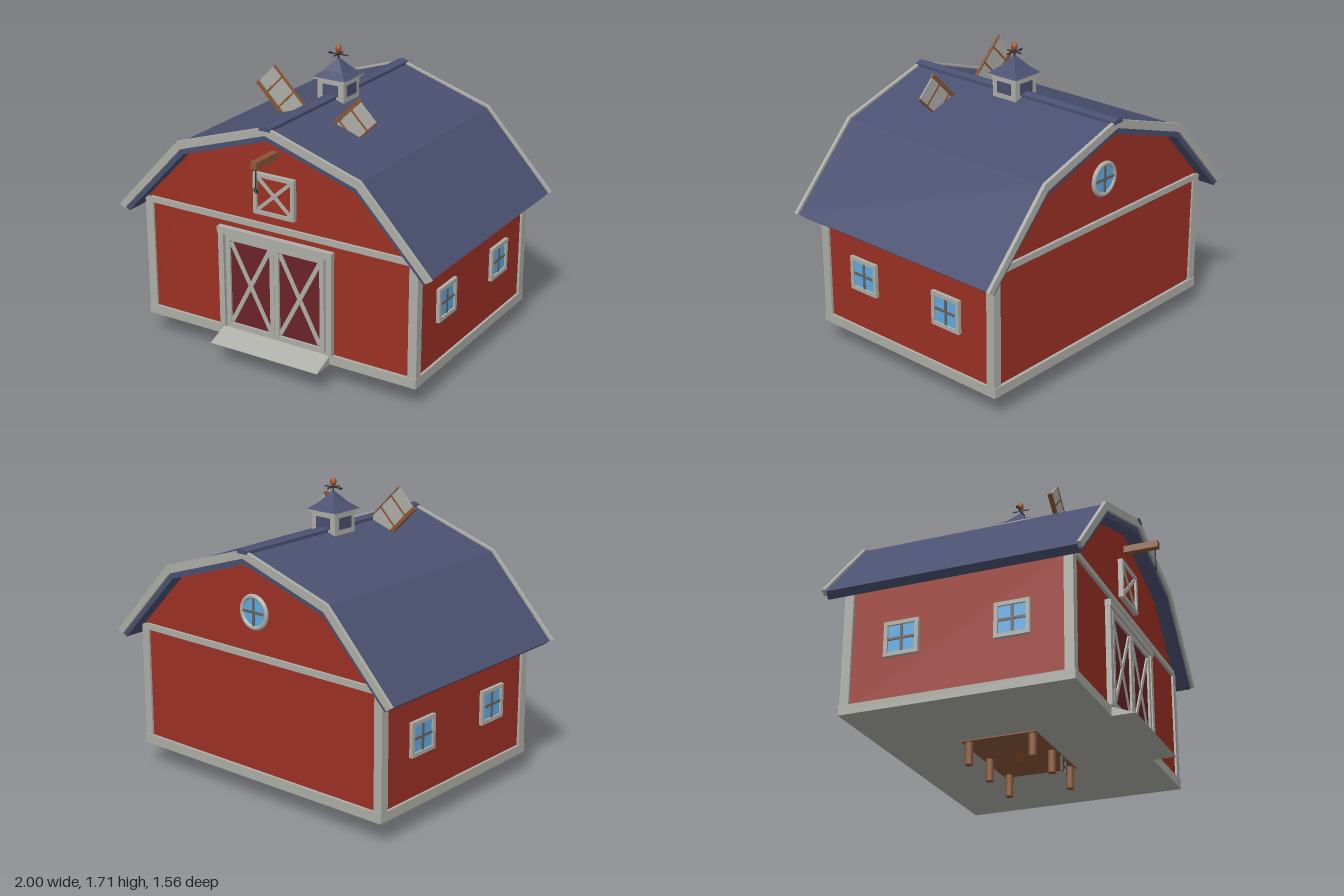
import * as THREE from 'three';

const mat = (name, color) => {
  const m = new THREE.MeshStandardMaterial({ color });
  m.name = name;
  return m;
};

export function createModel() {
  const red = mat('barn red', 0x9c3024);
  const maroon = mat('door maroon', 0x6b2428);
  const trim = mat('trim grey', 0xaeaea8);
  const navy = mat('roof navy', 0x4a5070);
  const wood = mat('wood brown', 0x8a5636);
  const glass = mat('window blue', 0x5fabe2);
  const dark = mat('iron dark', 0x33353d);
  const bar = mat('mullion grey', 0x66625e);
  const copper = mat('copper', 0xa0522d);
  const model = new THREE.Group();
  const CZ = -0.05;

  const add = (parent, name, geo, m, x = 0, y = 0, z = 0) => {
    const mesh = new THREE.Mesh(geo, m);
    mesh.name = name;
    mesh.position.set(x, y, z);
    parent.add(mesh);
    return mesh;
  };
  const box = (parent, name, m, w, h, d, x, y, z) =>
    add(parent, name, new THREE.BoxGeometry(w, h, d), m, x, y, z);
  const group = (name, x = 0, y = 0, z = 0, ry = 0) => {
    const g = new THREE.Group();
    g.name = name;
    g.position.set(x, y, z);
    g.rotation.y = ry;
    model.add(g);
    return g;
  };
  // Extrudes an outline (x, y) from z0 to z1
  const slab = (pts, z0, z1) => {
    const s = new THREE.Shape(pts.map(p => new THREE.Vector2(p[0], p[1])));
    return new THREE.ExtrudeGeometry(s, { depth: z1 - z0, bevelEnabled: false }).translate(0, 0, z0);
  };
  // Gambrel band between an outer and an inner half profile, listed ridge to eave
  const flip = pts => pts.map(([x, y]) => [-x, y]);
  const band = (o, i) => [...flip(o).reverse(), ...o.slice(1), ...[...i].reverse(), ...flip(i).slice(1)];
  // Rectangular frame of four boards, centred on the origin
  const frame = (g, w, h, t, d, z) => {
    for (const s of [-1, 1]) {
      box(g, 'frameSide', trim, t, h, d, s * (w - t) / 2, 0, z);
      box(g, 'frameRail', trim, w - 2 * t, t, d, 0, s * (h - t) / 2, z);
    }
  };
  const cross = (g, w, h, t, d, z) => {
    for (const s of [-1, 1])
      box(g, 'brace', trim, Math.hypot(w, h) - t, t, d, 0, 0, z + s * 0.001).rotation.z = s * Math.atan2(h, w);
  };

  // Walls, base and trim
  const half = [[0, 1.37], [0.545, 1.195], [0.865, 0.862], [0.865, 0.15]];
  add(model, 'walls', slab([...half, ...flip(half).reverse().slice(0, 3)].reverse(), -0.685, 0.585), red);
  box(model, 'base', trim, 1.76, 0.055, 1.305, 0, 0.158, CZ);
  for (const sx of [-1, 1])
    for (const sz of [-1, 1])
      box(model, 'cornerPost', trim, 0.052, 0.67, 0.052, sx * 0.853, 0.52, CZ + sz * 0.621);
  for (const sz of [-1, 1])
    box(model, 'gableRail', trim, 1.68, 0.035, 0.03, 0, 0.845, CZ + sz * 0.637);

  // Roof, rake boards and ridge cap
  add(model, 'roof', slab(band(
    [[0, 1.437], [0.572, 1.25], [0.985, 0.805]],
    [[0, 1.365], [0.545, 1.19], [0.945, 0.775]]), -0.76, 0.665), navy);
  const rake = band([[0, 1.447], [0.577, 1.262], [0.998, 0.812]], [[0, 1.4], [0.556, 1.22], [0.966, 0.79]]);
  add(model, 'frontRake', slab(rake, 0.66, 0.68), trim);
  add(model, 'backRake', slab(rake, -0.775, -0.755), trim);
  add(model, 'ridgeCap', slab([[-0.035, 1.425], [0.035, 1.425], [0.035, 1.443], [0, 1.455], [-0.035, 1.443]],
    -0.777, 0.682), navy);

  // Double door with frame and braces
  box(model, 'doorHeader', trim, 0.74, 0.04, 0.05, 0, 0.772, 0.595);
  for (const s of [-1, 1]) {
    box(model, 'doorPost', trim, 0.035, 0.57, 0.04, s * 0.35, 0.47, 0.595);
    const leaf = group('doorLeaf', s * 0.16, 0.47, 0.59);
    box(leaf, 'doorPanel', maroon, 0.31, 0.55, 0.02, 0, 0, 0);
    frame(leaf, 0.318, 0.555, 0.028, 0.035, 0.005);
    cross(leaf, 0.265, 0.5, 0.024, 0.025, 0.005);
  }
  const ramp = slab([[-0.735, 0.13], [-0.59, 0.13], [-0.59, 0.187]], -0.35, 0.35);
  add(model, 'ramp', ramp, trim).rotation.y = Math.PI / 2;

  // Hay loft door and hoist
  const loft = group('loftDoor', 0.002, 1.035, 0.59);
  box(loft, 'loftPanel', red, 0.24, 0.22, 0.02, 0, 0, 0);
  frame(loft, 0.26, 0.235, 0.022, 0.035, 0.005);
  cross(loft, 0.22, 0.195, 0.02, 0.025, 0.005);
  box(model, 'hoistBeam', wood, 0.04, 0.04, 0.23, 0, 1.267, 0.67);
  add(model, 'hoistRope', new THREE.CylinderGeometry(0.004, 0.004, 0.14, 6), dark, 0, 1.18, 0.765);
  add(model, 'hoistHook', new THREE.TorusGeometry(0.012, 0.004, 6, 12), dark, 0, 1.125, 0.765);

  // Side windows
  for (const s of [-1, 1])
    for (const z of [0.265, -0.355]) {
      const win = group('sideWindow', s * 0.865, 0.515, z, s * Math.PI / 2);
      box(win, 'pane', glass, 0.17, 0.17, 0.012, 0, 0, 0.004);
      frame(win, 0.198, 0.196, 0.022, 0.03, 0.006);
      box(win, 'mullion', bar, 0.014, 0.16, 0.02, 0, 0, 0.006);
      box(win, 'mullion', bar, 0.16, 0.014, 0.02, 0, 0, 0.006);
    }

  // Round back window
  const round = group('roundWindow', 0, 1.09, -0.685, Math.PI);
  add(round, 'pane', new THREE.CylinderGeometry(0.085, 0.085, 0.012, 24).rotateX(Math.PI / 2), glass, 0, 0, 0.004);
  add(round, 'ring', new THREE.TorusGeometry(0.087, 0.014, 8, 28), trim, 0, 0, 0.006);
  box(round, 'mullion', bar, 0.014, 0.165, 0.02, 0, 0, 0.006);
  box(round, 'mullion', bar, 0.165, 0.014, 0.02, 0, 0, 0.006);

  // Cupola with louvres, roof and weather vane
  const cupola = group('cupola', 0, 0, CZ);
  box(cupola, 'cupolaBody', trim, 0.168, 0.13, 0.168, 0, 1.47, 0);
  for (let i = 0; i < 4; i++) {
    const a = i * Math.PI / 2;
    box(cupola, 'louvre', navy, 0.1, 0.065, 0.006, Math.sin(a) * 0.085, 1.472, Math.cos(a) * 0.085).rotation.y = a;
  }
  box(cupola, 'cupolaEave', trim, 0.205, 0.012, 0.205, 0, 1.536, 0);
  const cap = [[0, 1.54], [0.148, 1.54], [0.085, 1.575], [0.012, 1.635], [0, 1.635]];
  const capGeo = new THREE.LatheGeometry(cap.map(p => new THREE.Vector2(...p)), 4, Math.PI / 4).toNonIndexed();
  capGeo.computeVertexNormals();
  add(cupola, 'cupolaRoof', capGeo, navy);
  add(cupola, 'spire', new THREE.CylinderGeometry(0.005, 0.005, 0.07, 8), dark, 0, 1.65, 0);
  box(cupola, 'vaneArm', dark, 0.125, 0.006, 0.006, 0, 1.66, 0);
  box(cupola, 'vaneArm', dark, 0.006, 0.006, 0.1, 0, 1.66, 0);
  add(cupola, 'vanePoint', new THREE.ConeGeometry(0.01, 0.025, 4).rotateZ(Math.PI / 2), dark, -0.06, 1.66, 0);
  add(cupola, 'finial', new THREE.SphereGeometry(0.018, 14, 10).scale(1, 1.35, 1), copper, 0, 1.69, 0);

  // Four sails on a hub, the upper pair rising through the roof
  for (let i = 0; i < 4; i++) {
    const sail = group('sail', 0, 1.21, 0.26);
    sail.rotation.z = Math.PI / 4 + i * Math.PI / 2;
    box(sail, 'spar', wood, 0.022, 0.46, 0.022, 0, 0.23, 0);
    box(sail, 'cloth', trim, 0.145, 0.33, 0.008, 0.075, 0.29, 0);
    box(sail, 'sailEdge', wood, 0.008, 0.33, 0.014, 0.15, 0.29, 0);
    for (const y of [0.17, 0.275, 0.38])
      box(sail, 'sailBar', wood, 0.15, 0.01, 0.014, 0.075, y, 0);
  }

  // Deck under the floor with six posts, a hanging cone and a ladder
  box(model, 'deck', wood, 0.62, 0.03, 0.43, 0, 0.14, CZ);
  for (const x of [-0.28, 0, 0.28])
    for (const z of [0.137, -0.23])
      add(model, 'post', new THREE.CylinderGeometry(0.022, 0.022, 0.16, 12), wood, x, 0.08, z);
  add(model, 'hangingCone', new THREE.ConeGeometry(0.04, 0.045, 12).rotateX(Math.PI), copper, 0, 0.108, CZ);
  for (const s of [-1, 1])
    box(model, 'ladderRail', bar, 0.01, 0.1, 0.01, 0.118 + s * 0.03, 0.09, 0.16);
  for (const y of [0.075, 0.115])
    box(model, 'ladderRung', bar, 0.06, 0.01, 0.01, 0.118, y, 0.16);

  return model;
}
